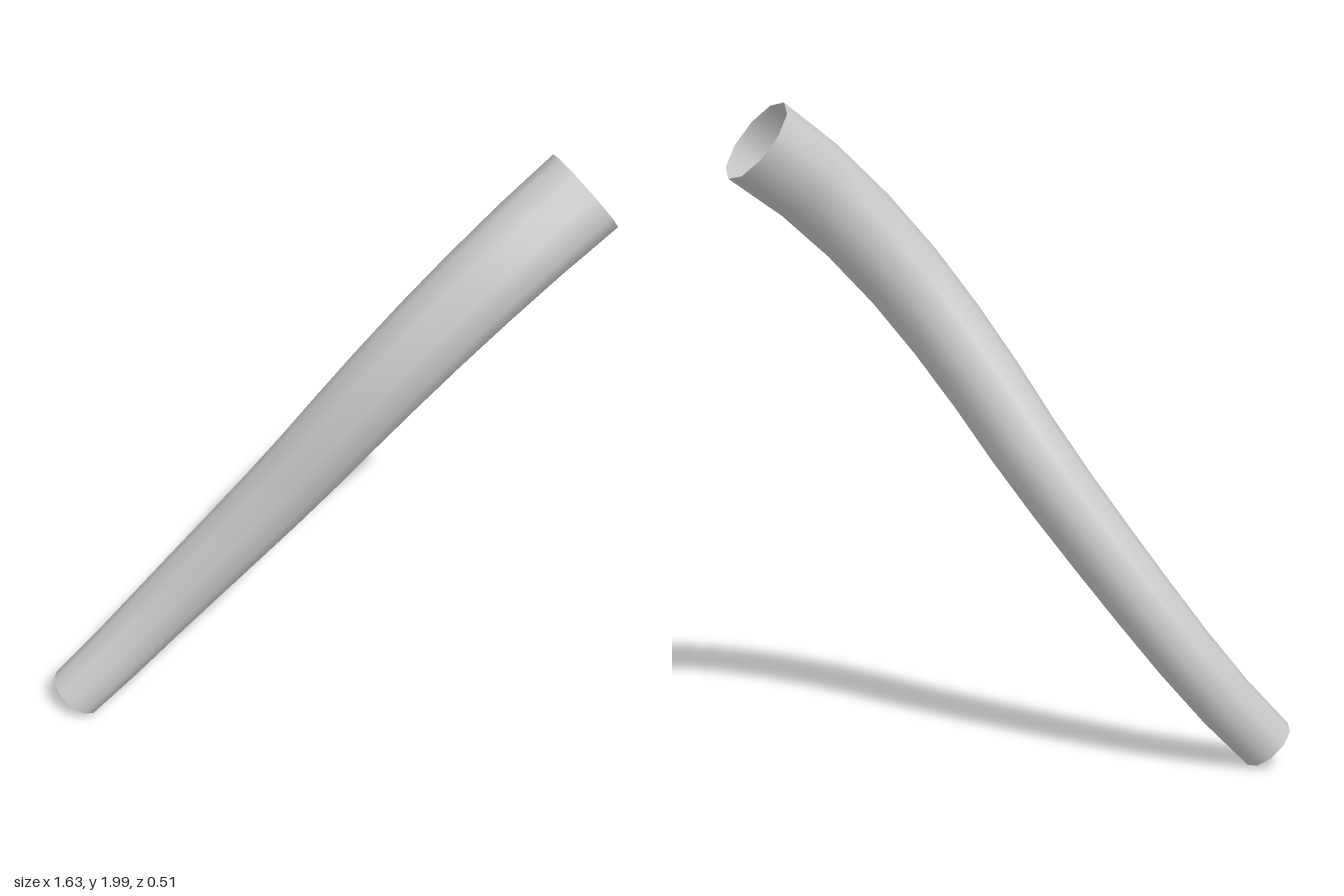
import * as THREE from 'three';

const SEGMENTS = 12, SIDES = 10, R_LOW = 0.088, R_HIGH = 0.134;

// Open, tapered tube swept along a gentle S-curve
function taperedTube(curve) {
  const geo = new THREE.TubeGeometry(curve, SEGMENTS, 1, SIDES, false);
  const pos = geo.attributes.position, nor = geo.attributes.normal;
  const n = new THREE.Vector3();
  for (let i = 0; i <= SEGMENTS; i++) {
    const t = i / SEGMENTS;
    const centre = curve.getPointAt(t), tangent = curve.getTangentAt(t);
    const radius = THREE.MathUtils.lerp(R_LOW, R_HIGH, t);
    for (let j = 0; j <= SIDES; j++) {
      const k = i * (SIDES + 1) + j;
      // quarter turn puts a corner of each ring on its upper side
      n.fromBufferAttribute(nor, k).applyAxisAngle(tangent, Math.PI / 2);
      nor.setXYZ(k, n.x, n.y, n.z);
      n.multiplyScalar(radius).add(centre);
      pos.setXYZ(k, n.x, n.y, n.z);
    }
  }
  return geo;
}

export function createModel() {
  const group = new THREE.Group();
  group.name = 'curvedPipe';

  const path = new THREE.CatmullRomCurve3([
    [-0.75, 0.067, -0.173],
    [-0.6, 0.225, -0.168],
    [-0.45, 0.41, -0.145],
    [-0.085, 0.92, -0.018],
    [0.1, 1.215, 0.068],
    [0.29, 1.48, 0.124],
    [0.53, 1.735, 0.131],
    [0.735, 1.89, 0.088],
  ].map((p) => new THREE.Vector3(...p)));

  const pipe = new THREE.Mesh(
    taperedTube(path),
    new THREE.MeshStandardMaterial({ color: 0xcccccc, side: THREE.DoubleSide }),
  );
  pipe.name = 'pipe';
  group.add(pipe);
  return group;
}
